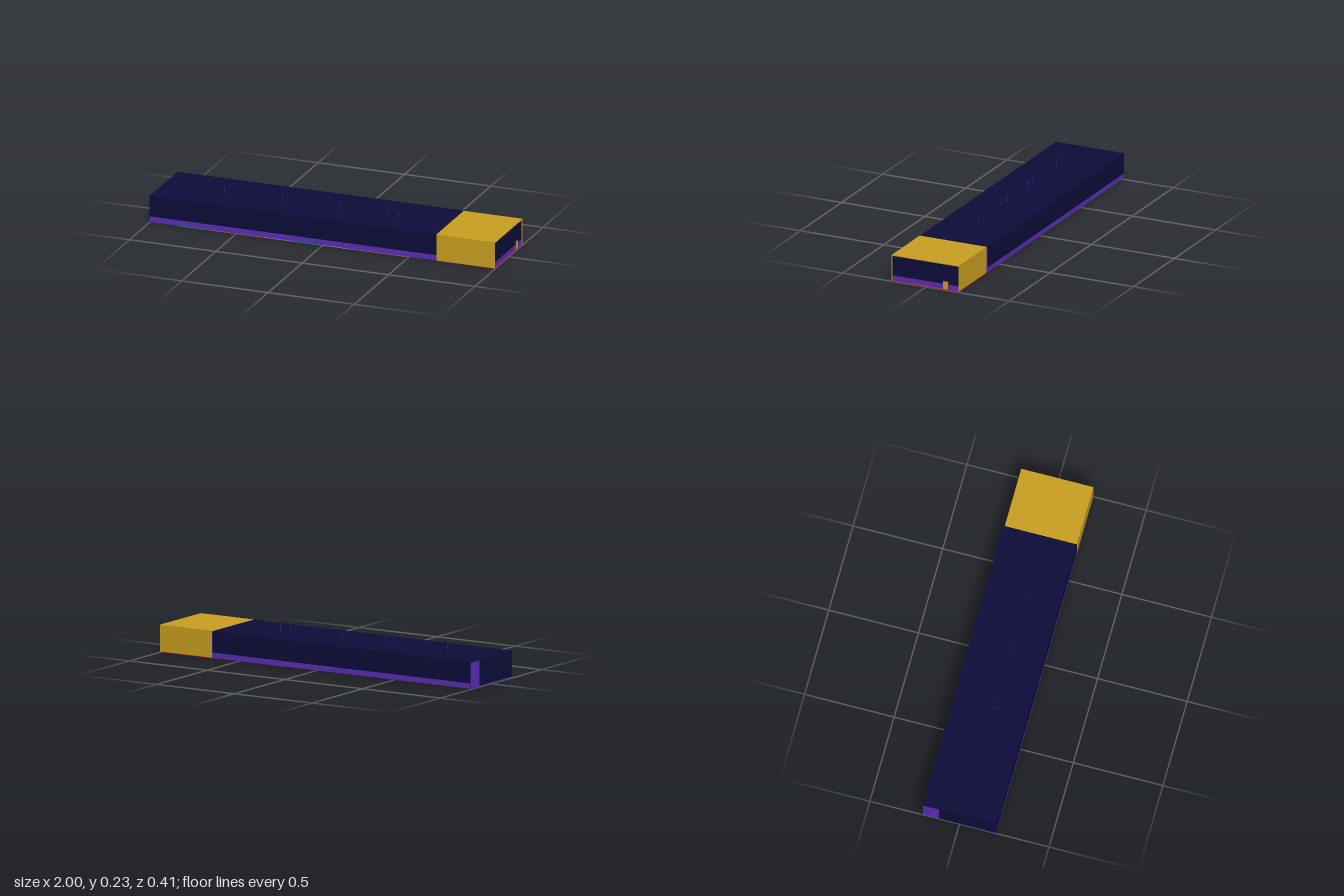
import * as THREE from 'three';

const mat = (name, color) => {
  const m = new THREE.MeshStandardMaterial({ color });
  m.name = name;
  return m;
};

export function createModel() {
  const navy = mat('navy', 0x0c0c3a);
  const gold = mat('gold', 0xc9a020);
  const purple = mat('purple', 0x5b2db5);
  const red = mat('red', 0xcc2233);
  const brown = mat('brown', 0xd0693a);
  const grey = mat('warm grey', 0xb8a090);
  const green = mat('green', 0x00b860);
  const black = mat('black', 0x101014);

  const group = new THREE.Group();

  // Box given by its limits on each axis
  const box = (name, material, [x0, x1], [y0, y1], [z0, z1]) => {
    const mesh = new THREE.Mesh(new THREE.BoxGeometry(x1 - x0, y1 - y0, z1 - z0), material);
    mesh.position.set((x0 + x1) / 2, (y0 + y1) / 2, (z0 + z1) / 2);
    mesh.name = name;
    group.add(mesh);
    return mesh;
  };

  const split = 0.66, back = -0.197, front = 0.205;

  // Long hall: purple floor and base band, navy walls and roof
  box('hallFloor', purple, [-1, split], [0.003, 0.008], [back, front]);
  box('hallBaseBand', purple, [-0.999, split], [0.008, 0.034], [-0.203, front]);
  box('hallWalls', navy, [-0.999, split], [0.034, 0.147], [-0.203, front]);
  box('hallRoof', navy, [-1, split], [0.147, 0.151], [-0.205, front]);
  box('farEndWall', navy, [-1, -0.998], [0.006, 0.147], [-0.203, front]);
  box('farEndPanel', purple, [-1.001, -0.999], [0.006, 0.146], [-0.203, -0.115]);
  box('backWallEnd', purple, [split, split + 0.002], [0.005, 0.147], [-0.203, back]);

  // Entrance: gold shell over a navy end wall, on a red floor
  box('entranceFloor', red, [split, 0.999], [0.001, 0.005], [back, front]);
  box('entranceRoof', gold, [split, 1], [0.147, 0.152], [back, front]);
  for (const z of [back, front - 0.002]) {
    box('entranceSide', gold, [split, 1], [0.003, 0.147], [z, z + 0.002]);
  }
  box('entranceEndWall', navy, [0.985, 0.996], [0.034, 0.147], [back + 0.002, front - 0.002]);
  box('entranceEndBand', purple, [0.985, 0.996], [0.005, 0.034], [back + 0.002, front - 0.002]);
  box('signBody', red, [0.99, 0.999], [0.006, 0.05], [-0.133, -0.103]);
  box('signFace', gold, [0.999, 1], [0.006, 0.05], [-0.133, -0.103]);

  // Row of coloured floor bays along the front
  const bays = [brown, brown, grey, green, grey, brown, brown, green];
  const step = 1.345 / bays.length;
  bays.forEach((m, i) => {
    const x1 = 0.503 - i * step;
    box('floorBay', m, [x1 - step, x1], [0, 0.003], [0.07, front]);
  });

  // Thin hanger rods coming up through the roof
  const rod = (name, material, x, z, top, r) => {
    const mesh = new THREE.Mesh(new THREE.CylinderGeometry(r, r, top - 0.14, 6), material);
    mesh.position.set(x, (top + 0.14) / 2, z);
    mesh.name = name;
    group.add(mesh);
  };
  for (let i = 0; i < 4; i++) {
    const x = -0.67 + i * 0.336;
    for (const s of [-1, 1]) rod('hangerRod', purple, x + s * 0.031, 0.025, 0.185, 0.001);
  }
  for (const x of [-0.8, -0.47, -0.2]) rod('tallRod', black, x, -0.145, 0.235, 0.0006);

  return group;
}
